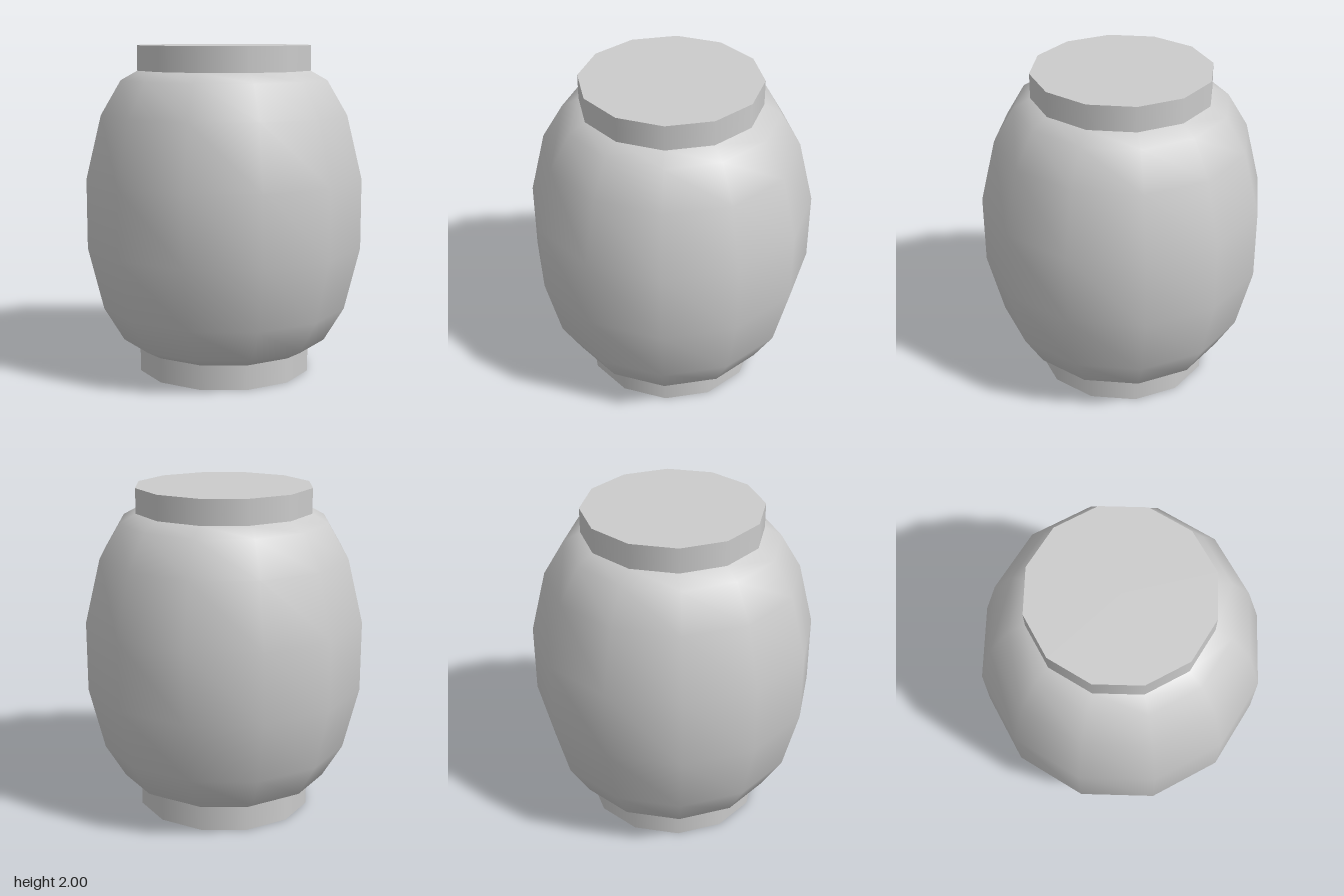
import * as THREE from 'three';

const SIDES = 12;
const NECK_RADIUS = 0.535;
const NECK_HEIGHT = 0.15;

export function createModel() {
  const group = new THREE.Group();
  const material = new THREE.MeshStandardMaterial({ color: 0xcccccc });

  const add = (name, geometry, y = 0) => {
    const mesh = new THREE.Mesh(geometry, material);
    mesh.name = name;
    mesh.position.y = y;
    group.add(mesh);
  };

  // Bulging body: lower half of the profile, mirrored about y = 1
  const lower = [[NECK_RADIUS, NECK_HEIGHT], [0.635, 0.205], [0.757, 0.41], [0.85, 0.79]];
  const upper = lower.map(([r, y]) => [r, 2 - y]).reverse();
  const profile = [...lower, ...upper].map(([r, y]) => new THREE.Vector2(r, y));
  add('body', new THREE.LatheGeometry(profile, SIDES));

  // Matching end rings, closed by flat discs
  const ring = new THREE.CylinderGeometry(NECK_RADIUS, NECK_RADIUS, NECK_HEIGHT, SIDES);
  add('bottomRing', ring, NECK_HEIGHT / 2);
  add('topRing', ring, 2 - NECK_HEIGHT / 2);

  return group;
}
